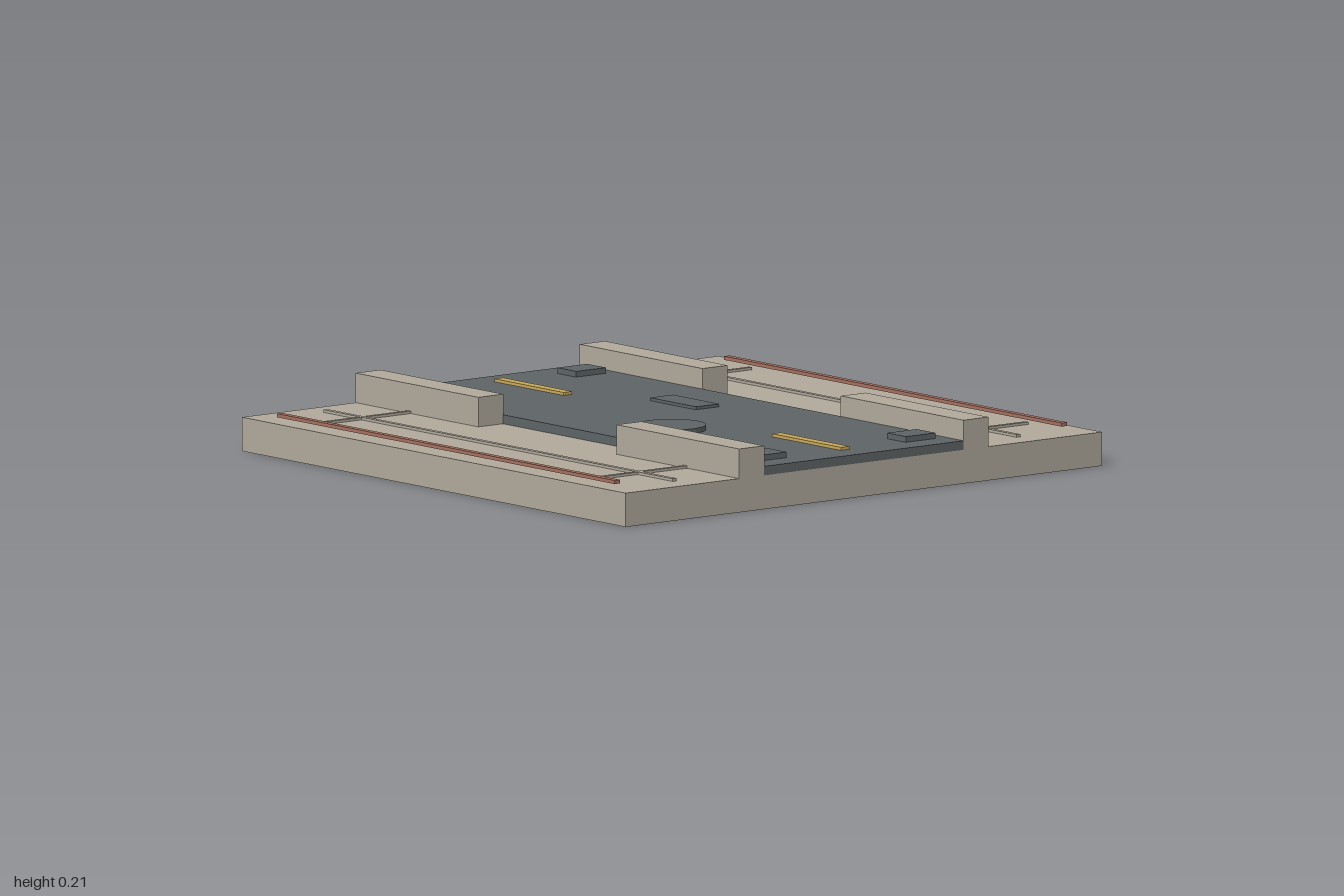
import * as THREE from 'three';

export function createModel() {
  const group = new THREE.Group();
  const mat = (name, color) => {
    const m = new THREE.MeshStandardMaterial({ color });
    m.name = name;
    return m;
  };
  const stone = mat('stone', 0xb0a99b);
  const asphalt = mat('asphalt', 0x5e6466);
  const yellow = mat('yellow paint', 0xc9a85a);
  const red = mat('red trim', 0xa4705f);

  // Box given by its extents along each axis
  const box = (name, material, [x0, x1], [y0, y1], [z0, z1]) => {
    const mesh = new THREE.Mesh(new THREE.BoxGeometry(x1 - x0, y1 - y0, z1 - z0), material);
    mesh.position.set((x0 + x1) / 2, (y0 + y1) / 2, (z0 + z1) / 2);
    mesh.name = name;
    group.add(mesh);
  };
  // Extent from a to b, mirrored when s is -1
  const span = (s, a, b) => (s > 0 ? [a, b] : [-b, -a]);

  // Ground slab and roadway
  box('slab', stone, [-1, 1], [0, 0.112], [-1, 1]);
  box('roadway', asphalt, [-1, 1], [0.112, 0.142], [-0.42, 0.42]);

  for (const sz of [1, -1]) {
    // Pavement trim and long joint
    box('trimStrip', red, [-0.88, 0.88], [0.122, 0.134], span(sz, 0.927, 0.95));
    box('longJoint', stone, [-0.91, 0.91], [0.112, 0.121], span(sz, 0.713, 0.73));
    for (const sx of [1, -1]) {
      box('kerbWall', stone, span(sx, 0.36, 1), [0.112, 0.21], span(sz, 0.418, 0.523));
      box('crossJoint', stone, span(sx, 0.712, 0.728), [0.112, 0.1205], span(sz, 0.523, 0.91));
      box('cornerPlate', asphalt, span(sx, 0.81, 0.908), [0.142, 0.161], span(sz, 0.25, 0.375));
    }
  }

  // Painted lane dashes
  for (const sx of [1, -1])
    box('laneDash', yellow, span(sx, 0.543, 0.903), [0.142, 0.152], [-0.018, 0.018]);

  // Drain plate and round access cover
  box('drainPlate', asphalt, [-0.283, -0.043], [0.142, 0.152], [-0.232, -0.135]);
  const cover = new THREE.Mesh(new THREE.CylinderGeometry(0.114, 0.114, 0.016, 32), asphalt);
  cover.position.set(0.218, 0.15, 0.178);
  cover.name = 'accessCover';
  group.add(cover);

  return group;
}
